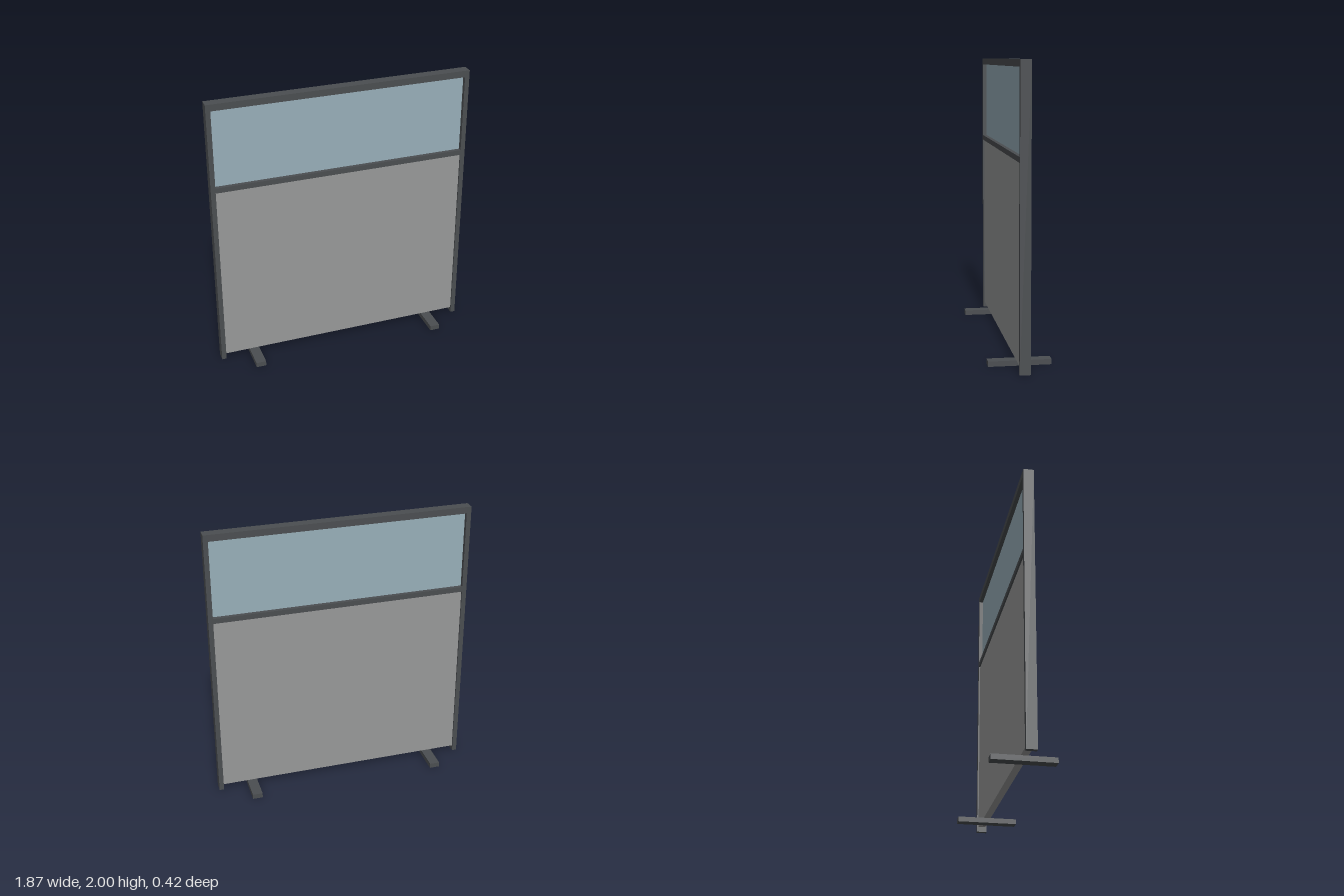
import * as THREE from 'three';

export function createModel() {
  const group = new THREE.Group();

  const material = (name, color) => {
    const m = new THREE.MeshStandardMaterial({ color });
    m.name = name;
    return m;
  };
  const frame = material('dark grey frame', 0x4b4e51);
  const fabric = material('grey panel', 0x989999);
  const glass = material('pale blue glass', 0x98afb9);

  // Box given by its extents in x and y, centred on z = 0
  const box = (name, mat, x0, x1, y0, y1, depth) => {
    const mesh = new THREE.Mesh(new THREE.BoxGeometry(x1 - x0, y1 - y0, depth), mat);
    mesh.name = name;
    mesh.position.set((x0 + x1) / 2, (y0 + y1) / 2, 0);
    group.add(mesh);
  };

  const outer = 0.933, inner = 0.9, depth = 0.072;

  // Posts and feet on both sides
  for (const [side, s] of [['left', 1], ['right', -1]]) {
    const postX = s * (outer + inner) / 2, postHalf = (outer - inner) / 2;
    box(side + 'Post', frame, postX - postHalf, postX + postHalf, 0, 2, depth);
    box(side + 'Foot', frame, s * 0.685 - 0.036, s * 0.685 + 0.036, 0, 0.036, 0.424);
  }

  // Rails above and below the window
  box('topRail', frame, -inner, inner, 1.953, 2, depth);
  box('middleRail', frame, -inner, inner, 1.36, 1.397, depth);

  // Infill panels set back between the posts
  box('lowerPanel', fabric, -inner, inner, 0.038, 1.36, 0.05);
  box('windowPane', glass, -inner, inner, 1.397, 1.953, 0.016);

  return group;
}
